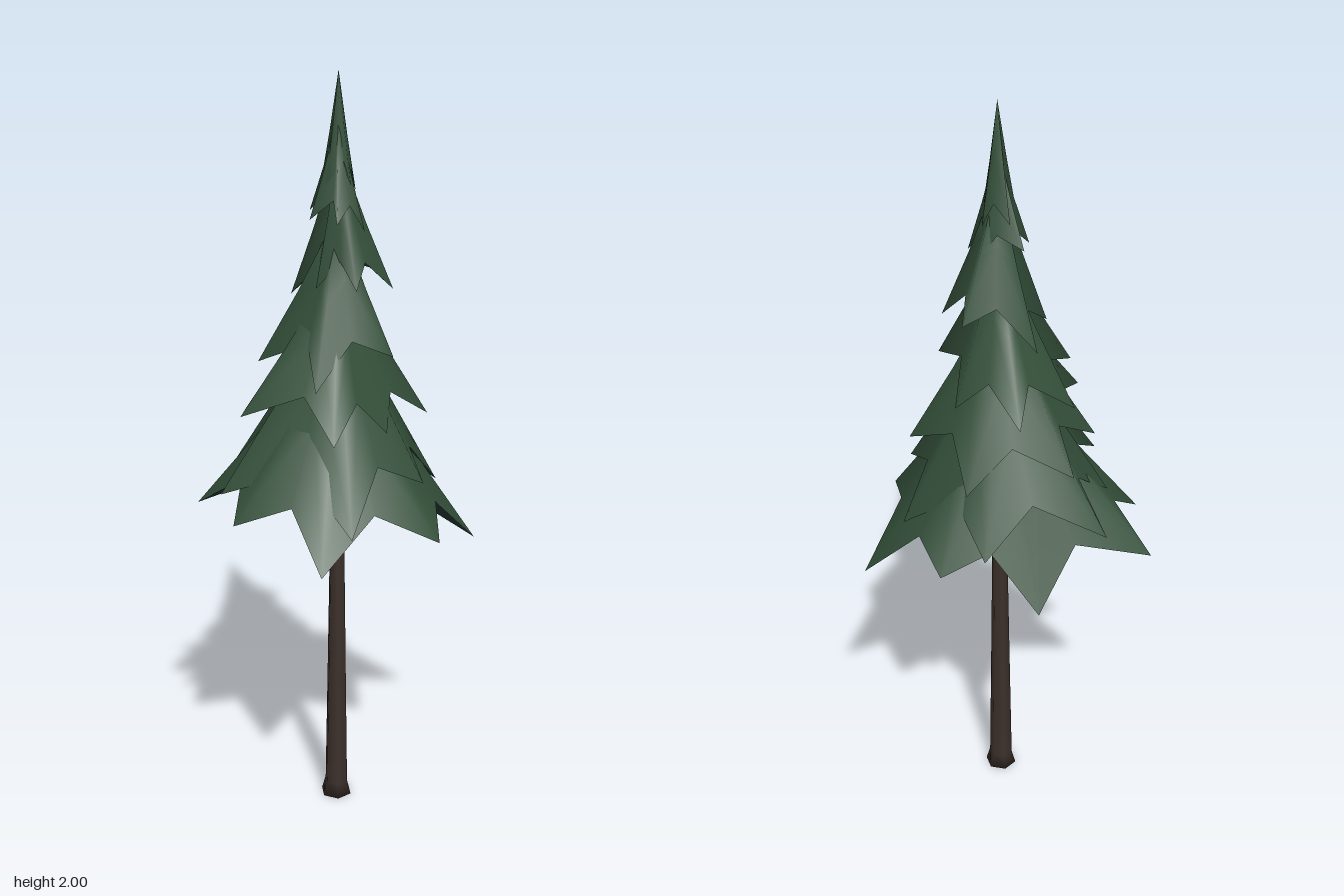
import * as THREE from 'three';

const AXIS = { x: 0.011, z: 0.033 };

// Each tier: apex height, notch depth, and its branch tips [x, y, z] in order around the trunk
const TIERS = [
  { apex: 1.36, depth: 0.2, tips: [[0.345, 0.88, 0.025], [0.275, 0.77, 0.3], [-0.02, 0.87, 0.38],
    [-0.322, 0.84, 0.24], [-0.345, 0.92, -0.02], [-0.2, 0.88, -0.275], [-0.06, 0.83, -0.38], [0.22, 0.755, -0.19]] },
  { apex: 1.46, depth: 0.25, tips: [[0.312, 0.94, -0.085], [0.23, 0.93, 0.2], [0.02, 1.0, 0.3],
    [-0.24, 0.92, 0.27], [-0.295, 0.97, -0.105], [-0.09, 0.98, -0.235], [0.09, 0.955, -0.315]] },
  { apex: 1.54, depth: 0.28, tips: [[0.257, 1.08, -0.005], [0.15, 1.14, 0.22], [-0.03, 1.13, 0.22],
    [-0.215, 1.135, 0.195], [-0.26, 1.175, -0.065], [-0.1, 1.13, -0.19], [0.1, 1.11, -0.225]] },
  { apex: 1.66, depth: 0.34, tips: [[0.19, 1.28, 0.06], [0, 1.32, 0.215], [-0.185, 1.25, 0.115],
    [-0.165, 1.295, -0.085], [0.02, 1.26, -0.185], [0.19, 1.26, -0.12]] },
  { apex: 1.82, depth: 0.36, tips: [[0.165, 1.49, 0.05], [0.08, 1.47, 0.155], [-0.04, 1.48, 0.13],
    [-0.075, 1.48, 0.03], [-0.05, 1.45, -0.07], [0.08, 1.42, -0.11]] },
  { apex: 1.9, depth: 0.4, tips: [[0.075, 1.63, 0.05], [0.005, 1.62, 0.12], [-0.055, 1.64, 0.08],
    [-0.08, 1.65, 0.015], [-0.01, 1.66, -0.04], [0.045, 1.66, -0.055]] },
  { apex: 2.0, depth: 0.38, tips: [[0.06, 1.71, 0.05], [0.0, 1.73, 0.08], [-0.035, 1.73, 0.03],
    [0.0, 1.74, -0.01], [0.05, 1.72, -0.02]] },
];

function surface(points, index) {
  const geometry = new THREE.BufferGeometry().setFromPoints(points);
  geometry.setIndex(index);
  geometry.computeVertexNormals();
  return geometry;
}

// Zigzag rim of alternating branch tips and raised, pulled-in notches
function tierRim({ apex, depth, tips }) {
  const { lerp } = THREE.MathUtils;
  const points = tips.map((t) => new THREE.Vector3(...t));
  return points.flatMap((tip, i) => {
    const mid = tip.clone().lerp(points[(i + 1) % points.length], 0.5);
    return [tip, new THREE.Vector3(
      lerp(mid.x, AXIS.x + 0.04, depth), lerp(mid.y, apex, 0.18), lerp(mid.z, AXIS.z, depth))];
  });
}

// Upper side: apex, a steeper inner ring, then the rim
function upperGeometry(rim, apex) {
  const top = new THREE.Vector3(AXIS.x, apex, AXIS.z);
  const ring = rim.map((p) => {
    const q = top.clone().lerp(p, 0.5);
    q.y = THREE.MathUtils.lerp(apex, p.y, 0.53);
    return q;
  });
  const m = rim.length, index = [];
  for (let i = 0; i < m; i++) {
    const j = (i + 1) % m;
    const a = 1 + i, b = 1 + j, c = 1 + m + i, d = 1 + m + j;
    index.push(0, b, a);
    // alternate the diagonal so each branch stays symmetric
    if (i % 2 === 0) index.push(a, b, c, b, d, c);
    else index.push(a, b, d, a, d, c);
  }
  return surface([top, ...ring, ...rim], index);
}

// Underside: a shallow hollow rising from the rim to the trunk
function underGeometry(rim, apex) {
  const meanY = rim.reduce((sum, p) => sum + p.y, 0) / rim.length;
  const hub = new THREE.Vector3(AXIS.x, THREE.MathUtils.lerp(meanY, apex, 0.3), AXIS.z);
  const index = rim.flatMap((_, i) => [0, 1 + i, 1 + (i + 1) % rim.length]);
  return surface([hub, ...rim], index);
}

export function createModel() {
  const tree = new THREE.Group();
  tree.name = 'pineTree';

  // Tapered six-sided trunk with a flared foot
  const profile = [[0, 0], [0.044, 0], [0.033, 0.04], [0.027, 0.4], [0.019, 0.9], [0.008, 1.6]]
    .map(([r, y]) => new THREE.Vector2(r, y));
  const trunk = new THREE.Mesh(
    new THREE.LatheGeometry(profile, 6, Math.PI / 12),
    new THREE.MeshStandardMaterial({ color: 0x3d312b, side: THREE.DoubleSide }));
  trunk.name = 'trunk';
  trunk.position.set(AXIS.x, 0, AXIS.z);
  tree.add(trunk);

  // Foliage tiers from the lowest to the crown
  const needles = new THREE.MeshStandardMaterial({ color: 0x34503a, side: THREE.DoubleSide });
  const shade = new THREE.MeshStandardMaterial({ color: 0x263f35, side: THREE.DoubleSide });
  TIERS.forEach((tier, i) => {
    const rim = tierRim(tier);
    const group = new THREE.Group();
    group.name = i === TIERS.length - 1 ? 'crown' : `branchTier${i + 1}`;
    const upper = new THREE.Mesh(upperGeometry(rim, tier.apex), needles);
    upper.name = 'needles';
    const under = new THREE.Mesh(underGeometry(rim, tier.apex), shade);
    under.name = 'underside';
    group.add(upper, under);
    tree.add(group);
  });
  return tree;
}
